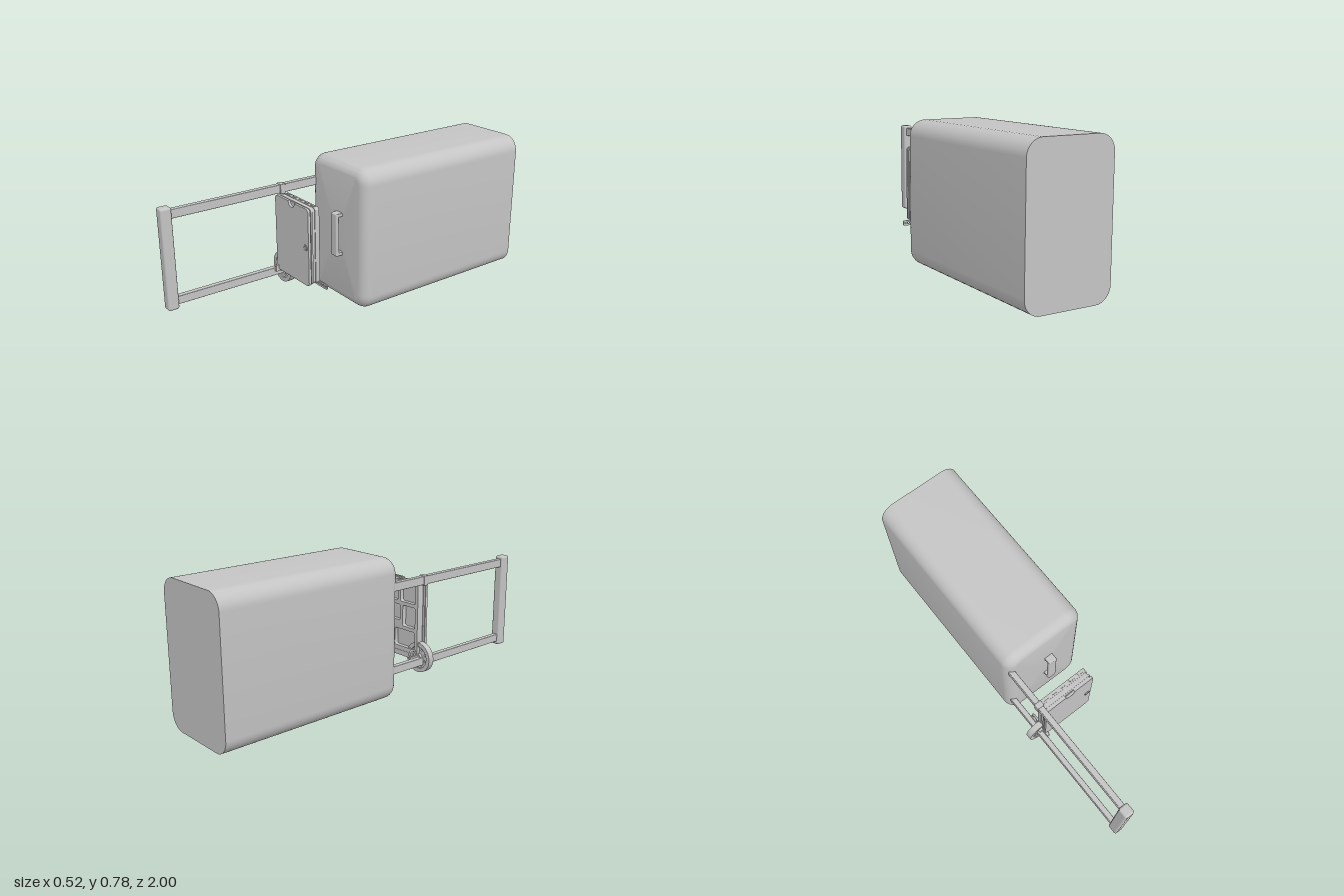
import * as THREE from 'three';
import { toCreasedNormals } from 'three/addons/utils/BufferGeometryUtils.js';
import { RoundedBoxGeometry } from 'three/addons/geometries/RoundedBoxGeometry.js';

const grey = new THREE.MeshStandardMaterial({ color: 0xc4c4c4 });
grey.name = 'light grey';

function add(parent, name, geometry) {
  const mesh = new THREE.Mesh(geometry, grey);
  mesh.name = name;
  parent.add(mesh);
  return mesh;
}

// Box given by its limits, with optional rounded edges
function box(parent, name, [x0, x1], [y0, y1], [z0, z1], r = 0) {
  const s = [x1 - x0, y1 - y0, z1 - z0];
  const g = r ? new RoundedBoxGeometry(...s, 3, r) : new THREE.BoxGeometry(...s);
  const mesh = add(parent, name, g);
  mesh.position.set((x0 + x1) / 2, (y0 + y1) / 2, (z0 + z1) / 2);
  return mesh;
}

// Corner points of a rounded rectangle, counter-clockwise
function roundRect(x0, x1, y0, y1, r, n = 8) {
  const points = [];
  [[x1 - r, y1 - r], [x0 + r, y1 - r], [x0 + r, y0 + r], [x1 - r, y0 + r]].forEach(([cx, cy], k) => {
    for (let i = 0; i <= n; i++) {
      const a = (k + i / n) * Math.PI / 2;
      points.push(new THREE.Vector2(cx + r * Math.cos(a), cy + r * Math.sin(a)));
    }
  });
  return points;
}

function circle(cx, cy, r) {
  return new THREE.Path().absarc(cx, cy, r, 0, Math.PI * 2, true);
}

// Flat outline with holes, extruded between two z values
function plate(parent, name, points, z0, z1, holes = []) {
  const shape = new THREE.Shape(points);
  shape.holes.push(...holes);
  const g = new THREE.ExtrudeGeometry(shape, { depth: z1 - z0, bevelEnabled: false, curveSegments: 20 });
  g.translate(0, 0, z0);
  return add(parent, name, toCreasedNormals(g, 0.6));
}

// Long rounded body: rings from the flat back to the filleted front
function bodyGeometry() {
  const f = 0.06, front = 0.095, steps = 10;
  const rows = [[-1, 0]];
  for (let i = 0; i <= steps; i++) {
    const a = i / steps * Math.PI / 2;
    rows.push([front - f + f * Math.sin(a), f * (1 - Math.cos(a))]);
  }
  const pos = [], index = [];
  let n = 0;
  for (const [z, d] of rows) {
    const ring = roundRect(-0.222 + d, 0.257 - d, d, 0.78 - d, 0.085 - d, 10);
    n = ring.length;
    ring.forEach(p => pos.push(p.x, p.y, z));
  }
  pos.push(0.0175, 0.39, -1, 0.0175, 0.39, front);
  const back = rows.length * n, last = (rows.length - 1) * n;
  for (let j = 0; j < n; j++) {
    const k = (j + 1) % n;
    for (let i = 0; i < rows.length - 1; i++) {
      const a = i * n + j, b = i * n + k;
      index.push(a, b, b + n, a, b + n, a + n);
    }
    index.push(back, k, j, back + 1, last + j, last + k);
  }
  const g = new THREE.BufferGeometry();
  g.setAttribute('position', new THREE.Float32BufferAttribute(pos, 3));
  g.setIndex(index);
  return toCreasedNormals(g, 0.6);
}

export function createModel() {
  const model = new THREE.Group();
  model.name = 'caseWithPullHandle';
  add(model, 'body', bodyGeometry());

  // Pull handle on two square rails
  for (const [name, y] of [['lowerRail', [0.14, 0.185]], ['upperRail', [0.6, 0.647]]])
    box(model, name, [-0.206, -0.176], y, [0.05, 0.96], 0.004);
  box(model, 'pullHandle', [-0.218, -0.163], [0.12, 0.663], [0.94, 1], 0.012);

  // Grab handle on the body front
  const grab = new THREE.Group();
  grab.name = 'grabHandle';
  model.add(grab);
  box(grab, 'grabBar', [0.015, 0.065], [0.27, 0.51], [0.115, 0.135], 0.006);
  for (const y of [0.27, 0.49])
    box(grab, 'grabFoot', [0.015, 0.065], [y, y + 0.02], [0.085, 0.13], 0.004);

  // Hinged panel: front cover with a finger notch in the top edge
  const panel = new THREE.Group();
  panel.name = 'panel';
  model.add(panel);
  const cover = roundRect(-0.178, 0.125, 0.18, 0.602, 0.02);
  const notch = [];
  for (let i = 0; i <= 14; i++) {
    const a = -i / 14 * Math.PI;
    notch.push(new THREE.Vector2(-0.025 + 0.028 * Math.cos(a), 0.602 + 0.028 * Math.sin(a)));
  }
  const notched = [...cover.slice(0, 9), ...notch, ...cover.slice(9)];
  plate(panel, 'cover', notched, 0.338, 0.352);
  plate(panel, 'core', roundRect(-0.172, 0.116, 0.186, 0.598, 0.016), 0.305, 0.339);
  plate(panel, 'coverRim', roundRect(-0.176, 0.122, 0.182, 0.6, 0.02), 0.322, 0.332);

  // Ribbed back of the panel
  const pocket = (x0, x1, y0, y1) => new THREE.Path(roundRect(x0, x1, y0, y1, 0.01, 4).reverse());
  plate(panel, 'backFrame', roundRect(-0.175, 0.12, 0.184, 0.6, 0.016), 0.28, 0.306, [
    pocket(-0.155, -0.04, 0.48, 0.58), pocket(-0.02, 0.1, 0.48, 0.58),
    pocket(-0.155, -0.06, 0.34, 0.46), pocket(-0.04, 0.1, 0.37, 0.46),
    pocket(-0.155, 0.0, 0.22, 0.32), pocket(0.02, 0.1, 0.22, 0.35),
  ]);
  for (let i = 0; i < 5; i++)
    box(panel, 'topTooth', [-0.15 + i * 0.055, -0.12 + i * 0.055], [0.596, 0.604], [0.285, 0.297]);

  // Round latch on the cover
  const latch = plate(panel, 'latchRing', new THREE.Path().absarc(0, 0, 0.017, 0, Math.PI * 2).getPoints(24),
    0.351, 0.355, [circle(0, 0, 0.012)]);
  latch.position.set(0.098, 0.39, 0);
  const button = add(panel, 'latchButton', new THREE.CylinderGeometry(0.01, 0.01, 0.006, 20));
  button.rotation.x = Math.PI / 2;
  button.position.set(0.098, 0.39, 0.353);

  // Thin adjusting arm with a row of holes
  const armHoles = [];
  for (let i = 0; i < 12; i++) armHoles.push(circle(0.05 + i * 0.0113, 0.181, 0.0045));
  plate(model, 'adjustingArm', roundRect(-0.17, 0.185, 0.166, 0.195, 0.008, 4), 0.278, 0.284, armHoles);

  // Wheel with raised rim, pierced web and hub
  const wheel = new THREE.Group();
  wheel.name = 'wheel';
  wheel.position.set(-0.175, 0.181, 0);
  model.add(wheel);
  const disc = r => new THREE.Path().absarc(0, 0, r, 0, Math.PI * 2).getPoints(40);
  plate(wheel, 'wheelRim', disc(0.085), 0.289, 0.324, [circle(0, 0, 0.062)]);
  const webHoles = [];
  for (let i = 0; i < 8; i++) {
    const a = (i + 0.5) * Math.PI / 4;
    webHoles.push(circle(0.046 * Math.cos(a), 0.046 * Math.sin(a), 0.006));
  }
  plate(wheel, 'wheelWeb', disc(0.063), 0.3, 0.316, webHoles);
  plate(wheel, 'wheelHub', disc(0.022), 0.285, 0.328);

  // Clips joining panel and rails, with a ring on the lower one
  box(model, 'lowerClip', [-0.18, -0.162], [0.165, 0.202], [0.275, 0.37], 0.004);
  box(model, 'ringArm', [-0.18, -0.165], [0.182, 0.196], [0.225, 0.3], 0.003);
  box(model, 'upperClip', [-0.211, -0.17], [0.595, 0.65], [0.29, 0.322], 0.004);
  const ring = add(model, 'hookRing', new THREE.TorusGeometry(0.021, 0.006, 8, 24));
  ring.rotation.y = Math.PI / 2;
  ring.position.set(-0.168, 0.208, 0.252);

  return model;
}
